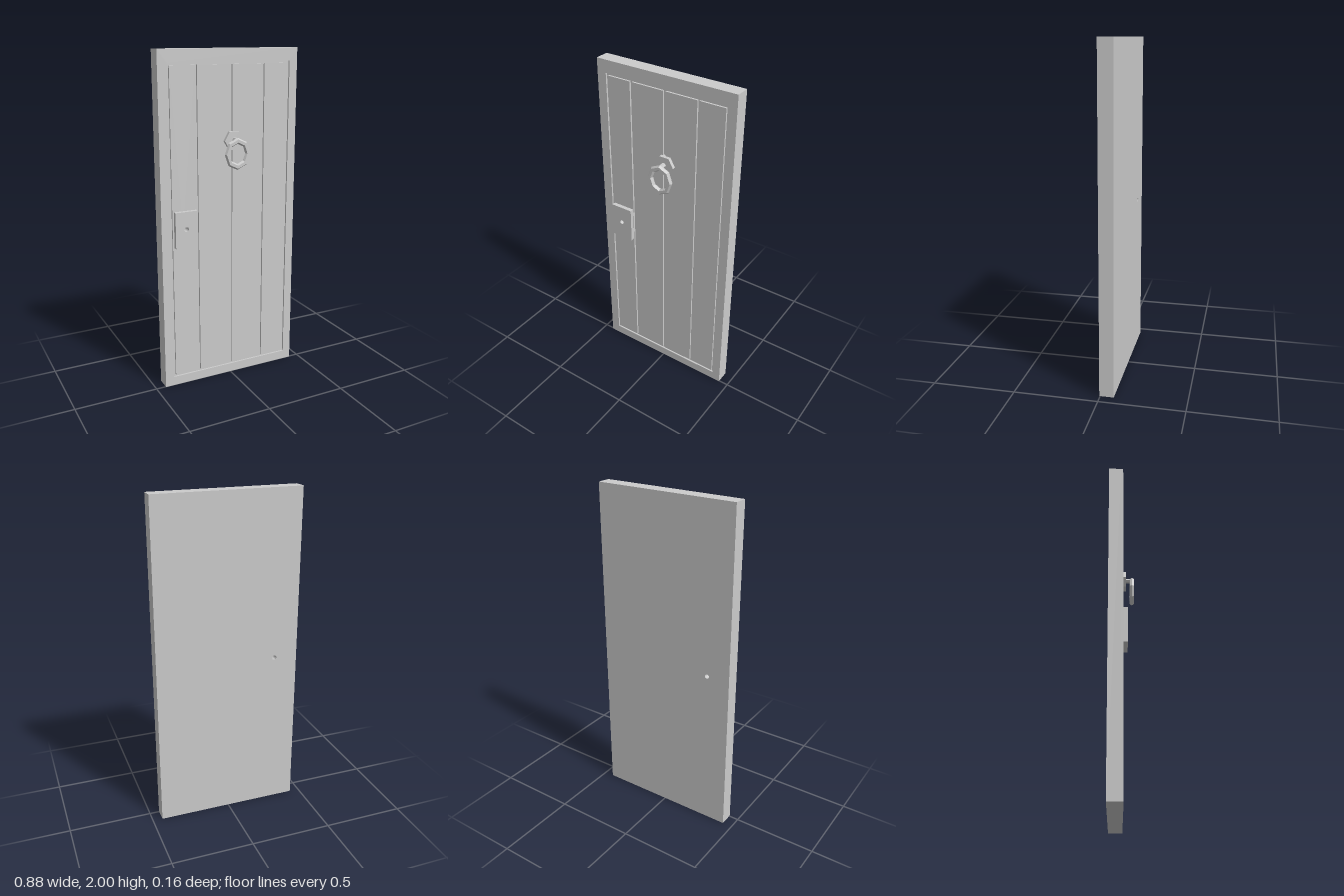
import * as THREE from 'three';

const material = new THREE.MeshStandardMaterial({ color: 0xcccccc, flatShading: true });
const KEYHOLE = { x: -0.295, y: 0.99, r: 0.014 };
const FACE = 0.005, RECESS = -0.006, BACK = -0.08;

function rectPoints(x0, x1, y0, y1) {
  return [[x0, y0], [x1, y0], [x1, y1], [x0, y1]].map(([x, y]) => new THREE.Vector2(x, y));
}

// Upright rectangular slab between two depths, with an optional keyhole or opening
function slab(name, rect, z0, z1, { keyhole = false, opening = null } = {}) {
  const shape = new THREE.Shape(rectPoints(...rect));
  if (keyhole) shape.holes.push(new THREE.Path().absarc(KEYHOLE.x, KEYHOLE.y, KEYHOLE.r, 0, Math.PI * 2, true));
  if (opening) shape.holes.push(new THREE.Path(rectPoints(...opening).reverse()));
  const geometry = new THREE.ExtrudeGeometry(shape, { depth: z1 - z0, bevelEnabled: false, curveSegments: 8 });
  geometry.translate(0, 0, z0);
  const mesh = new THREE.Mesh(geometry, material);
  mesh.name = name;
  return mesh;
}

// Hexagonal disc or post pointing out of the door, flat side up
function hexPrism(name, radius, y, z0, z1) {
  const geometry = new THREE.CylinderGeometry(radius, radius, z1 - z0, 6);
  geometry.rotateY(Math.PI / 2).rotateX(Math.PI / 2);
  // corners lie on the x axis
  geometry.rotateZ(0);
  const mesh = new THREE.Mesh(geometry, material);
  mesh.name = name;
  mesh.position.set(0, y, (z0 + z1) / 2);
  return mesh;
}

export function createModel() {
  const door = new THREE.Group();
  door.name = 'door';

  // Backing board and raised border
  const outline = [-0.44, 0.44, 0, 2];
  door.add(slab('backBoard', outline, BACK, RECESS, { keyhole: true }));
  door.add(slab('frame', outline, RECESS, FACE, { opening: [-0.383, 0.389, 0.055, 1.925] }));

  // Vertical planks separated by narrow grooves
  const planks = [[-0.372, -0.221], [-0.207, -0.004], [0.012, 0.209], [0.221, 0.378]];
  planks.forEach(([x0, x1], i) => {
    door.add(slab('plank' + (i + 1), [x0, x1, 0.067, 1.913], RECESS, FACE, { keyhole: i === 0 }));
  });

  // Lock plate
  door.add(slab('lockPlate', [-0.363, -0.224, 0.88, 1.095], FACE, 0.03, { keyhole: true }));

  // Knocker: hexagonal mount, short post and hanging ring
  const knocker = new THREE.Group();
  knocker.name = 'knocker';
  knocker.position.x = 0.016;
  knocker.add(hexPrism('knockerMount', 0.061, 1.482, RECESS, 0.025));
  knocker.add(hexPrism('knockerPost', 0.014, 1.488, 0.025, 0.062));
  const ring = new THREE.Mesh(new THREE.TorusGeometry(0.066, 0.0155, 6, 8), material);
  ring.name = 'knockerRing';
  ring.scale.y = 1.15;
  ring.position.set(0, 1.411, 0.062);
  knocker.add(ring);
  door.add(knocker);

  return door;
}
